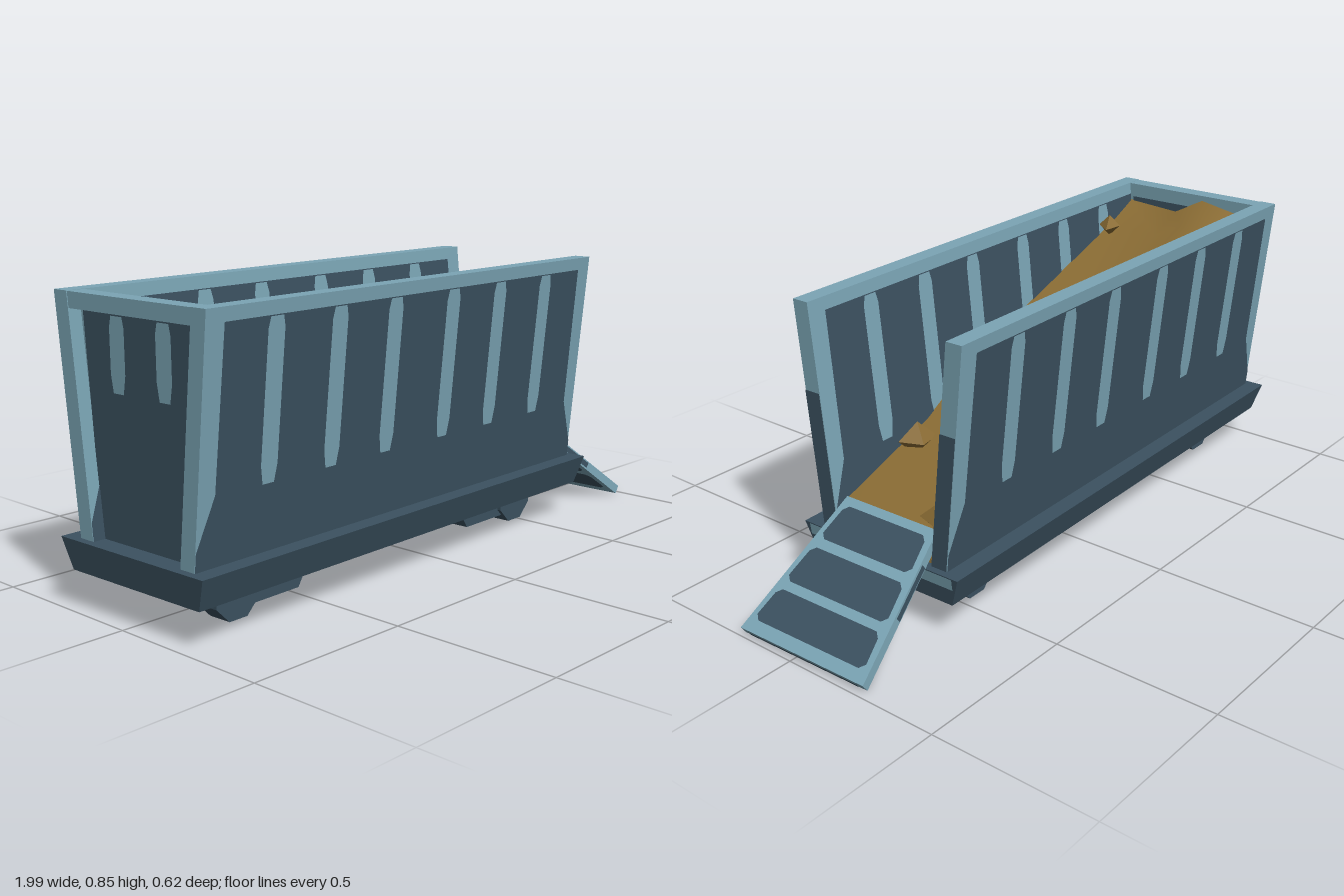
import * as THREE from 'three';
import { ConvexGeometry } from 'three/addons/geometries/ConvexGeometry.js';

const steel = new THREE.MeshStandardMaterial({ color: 0x7ba5b5 });
steel.name = 'paleSteel';
const panel = new THREE.MeshStandardMaterial({ color: 0x3b5160 });
panel.name = 'darkPanel';
const sand = new THREE.MeshStandardMaterial({ color: 0x8a6c34 });
sand.name = 'sand';

function add(parent, name, geometry, material) {
  const mesh = new THREE.Mesh(geometry, material);
  mesh.name = name;
  parent.add(mesh);
  return mesh;
}

// Box whose bottom and top rectangles have different half lengths and widths
function frustum(y0, l0, w0, y1, l1, w1) {
  const g = new THREE.BoxGeometry(2, 2, 2).toNonIndexed();
  const p = g.attributes.position;
  for (let i = 0; i < p.count; i++) {
    const top = p.getY(i) > 0;
    p.setXYZ(i, p.getX(i) * (top ? l1 : l0), top ? y1 : y0, p.getZ(i) * (top ? w1 : w0));
  }
  g.computeVertexNormals();
  return g;
}

const polygon = (pts) => new THREE.Shape(pts.map(([x, y]) => new THREE.Vector2(x, y)));

// Dark plate with slots through which the pale ribs show
function ribbedPanel(outline, ribs, top, bottom) {
  const shape = polygon(outline);
  for (const x of ribs) {
    shape.holes.push(polygon([[x - 0.02, bottom], [x - 0.029, bottom + 0.05], [x - 0.029, top - 0.03],
      [x - 0.022, top], [x + 0.022, top], [x + 0.029, top - 0.03], [x + 0.029, bottom + 0.05], [x + 0.02, bottom]]));
  }
  return new THREE.ShapeGeometry(shape);
}

const FLOOR = 0.2, TOP = 0.857, LEAN = 0.102, HALF = 0.81, THICK = 0.052;

// One long wall leaning outwards, built for +z; openEnd is the sign of its ramp end
function sideWall(name, openEnd) {
  const g = new THREE.Group();
  g.name = name;
  const lean = new THREE.Matrix4().set(1, 0, 0, 0, 0, 1, 0, 0, 0, LEAN, 1, 0.225 - LEAN * FLOOR, 0, 0, 0, 1);
  const place = (geo) => {
    geo.applyMatrix4(lean);
    geo.computeVertexNormals();
    return geo;
  };
  add(g, 'wall', place(new THREE.BoxGeometry(HALF * 2, TOP - FLOOR, THICK).translate(0, (TOP + FLOOR) / 2, -THICK / 2)), steel);
  const outline = [[-HALF, FLOOR], [HALF, FLOOR], [HALF, 0.25], [0.755, 0.39], [0.75, 0.82], [-0.75, 0.82], [-0.755, 0.39], [-HALF, 0.25]];
  const ribs = [-0.575, -0.345, -0.125, 0.125, 0.345, 0.575];
  add(g, 'outerPanel', place(ribbedPanel(outline, ribs, 0.817, 0.385).translate(0, 0, 0.002)), panel);
  add(g, 'innerPanel', place(ribbedPanel(outline, ribs, 0.817, 0.385).rotateY(Math.PI).translate(0, 0, -THICK - 0.002)), panel);
  // Dark lower part of the wall end beside the ramp
  const end = new THREE.PlaneGeometry(THICK, 0.4).rotateY(openEnd * Math.PI / 2);
  add(g, 'wallEndPanel', place(end.translate(openEnd * (HALF + 0.002), 0.4, -THICK / 2)), panel);
  return g;
}

// End wall set back under a top rail
function endWall() {
  const g = new THREE.Group();
  g.name = 'endWall';
  g.position.x = -0.781;
  add(g, 'topRail', frustum(0.812, 0.027, 0.252, TOP - 0.001, 0.027, 0.257), steel);
  add(g, 'wall', frustum(FLOOR, 0.008, 0.19, 0.815, 0.008, 0.252).translate(0.019, 0, 0), steel);
  const outline = [[-0.18, FLOOR], [0.18, FLOOR], [0.225, 0.812], [-0.225, 0.812]];
  add(g, 'outerPanel', ribbedPanel(outline, [-0.09, 0.09], 0.8, 0.6).rotateY(-Math.PI / 2).translate(0.009, 0, 0), panel);
  add(g, 'innerPanel', ribbedPanel(outline, [], 0, 0).rotateY(Math.PI / 2).translate(0.029, 0, 0), panel);
  return g;
}

// Lowered tail ramp, wider at its free end
function ramp() {
  const g = new THREE.Group();
  g.name = 'ramp';
  g.position.set(0.775, 0.29, 0);
  g.rotation.z = -Math.atan2(0.265, 0.37);
  const length = 0.455;
  const half = (t) => 0.165 + 0.06 * t;
  const plate = polygon([[0, -half(0)], [length, -half(1)], [length, half(1)], [0, half(0)]]);
  add(g, 'rampPlate', new THREE.ExtrudeGeometry(plate, { depth: 0.028, bevelEnabled: false }).rotateX(Math.PI / 2), steel);
  for (const [a, b] of [[0.06, 0.31], [0.375, 0.63], [0.69, 0.92]]) {
    const ha = half(a) - 0.018, hb = half(b) - 0.02, c = 0.016;
    const pts = [[a * length, -ha + c], [a * length + c, -ha], [b * length - c, -hb], [b * length, -hb + c],
      [b * length, hb - c], [b * length - c, hb], [a * length + c, ha], [a * length, ha - c]];
    for (const s of [-1, 1]) {
      const geo = new THREE.ShapeGeometry(polygon(pts)).rotateX(s * Math.PI / 2);
      add(g, 'rampPanel', geo.translate(0, s < 0 ? 0.002 : -0.03, 0), panel);
    }
  }
  // Dark strips on the ramp's edges
  add(g, 'rampEndPanel', new THREE.PlaneGeometry(0.4, 0.014).rotateY(Math.PI / 2).translate(length + 0.002, -0.015, 0), panel);
  for (const s of [-1, 1]) {
    const strip = add(g, 'rampSidePanel', new THREE.PlaneGeometry(0.16, 0.018), panel);
    strip.position.set(0.4 * length, -0.014, s * (half(0.4) + 0.002));
    strip.rotation.y = s > 0 ? -0.131 : Math.PI + 0.131;
  }
  return g;
}

// Foot block with an eight-sided roller at its outer end
function foot(sx, sz) {
  const g = new THREE.Group();
  g.name = 'foot';
  const block = polygon([[0.325, 0.115], [0.375, 0.035], [0.6, 0.035], [0.64, 0.06], [0.69, 0.115]].map(([x, y]) => [x * sx, y]));
  add(g, 'footBlock', new THREE.ExtrudeGeometry(block, { depth: 0.06, bevelEnabled: false }).translate(0, 0, sz * 0.12 - 0.03), panel);
  const roller = new THREE.CylinderGeometry(0.082, 0.082, 0.075, 8).rotateY(Math.PI / 8).rotateX(Math.PI / 2).toNonIndexed();
  roller.computeVertexNormals();
  add(g, 'roller', roller.translate(sx * 0.61, 0.088, sz * 0.125), panel);
  return g;
}

// Heap sloping from the end wall down to the ramp
function sandHeap() {
  const g = new THREE.Group();
  g.name = 'sandHeap';
  const xs = [-0.755, -0.62, -0.1, 0.16, 0.4, 0.79, 0.8];
  const ys = [0.8, 0.745, 0.585, 0.5, 0.385, 0.265, FLOOR];
  const across = [-1, -0.6, -0.2, 0.22, 1];
  const crest = [0.005, 0.022, 0.04, -0.013, 0];
  const geo = new THREE.PlaneGeometry(1, 1, 4, 6).rotateX(-Math.PI / 2);
  const p = geo.attributes.position;
  for (let i = 0; i < p.count; i++) {
    const row = Math.floor(i / 5), col = i % 5;
    const y = ys[row] + (row < 2 ? crest[col] : 0);
    p.setXYZ(i, xs[row], y, across[col] * (0.178 + LEAN * (y - FLOOR)));
  }
  // Rows run along +x here, so reverse the corners to keep the top facing up
  const index = geo.index.array;
  for (let i = 0; i < index.length; i += 3) [index[i], index[i + 1]] = [index[i + 1], index[i]];
  geo.computeVertexNormals();
  add(g, 'sandSlope', geo, sand);

  // Large broken slab lying on the slope
  const slab = [[-0.02, 0.57, 0.12], [0.155, 0.505, 0.01], [0.155, 0.57, 0.125], [0.365, 0.405, 0.11], [0.2, 0.42, 0.19], [0.155, 0.5, 0.2]];
  add(g, 'sandSlab', new ConvexGeometry(slab.map((v) => new THREE.Vector3(...v))), sand);

  // Angular lumps: x, y, z, then half sizes and turn
  const lumps = [
    [-0.57, 0.755, 0.2, 0.065, 0.035, 0.035, 0.4],
    [0.49, 0.365, 0.15, 0.06, 0.055, 0.05, -0.5],
    [0.57, 0.375, -0.172, 0.16, 0.065, 0.038, 0.1],
    [0.73, 0.3, -0.135, 0.06, 0.045, 0.055, 0.5],
  ];
  for (const [x, y, z, a, b, c, turn] of lumps) {
    const lump = new THREE.OctahedronGeometry(1).scale(a, b, c);
    lump.rotateY(turn);
    lump.computeVertexNormals();
    add(g, 'sandLump', lump, sand).position.set(x, y, z);
  }
  return g;
}

export function createModel() {
  const model = new THREE.Group();
  model.name = 'openContainer';
  const body = new THREE.Group();
  body.name = 'body';
  body.position.x = -0.155;
  body.rotation.y = 0.0245;
  model.add(body);

  // Base tray flaring upwards, with a pale strip on its ramp end
  add(body, 'base', frustum(0.11, 0.82, 0.25, FLOOR, 0.833, 0.28), panel);
  const strip = add(body, 'baseEndStrip', new THREE.PlaneGeometry(0.52, 0.035).rotateY(Math.PI / 2), steel);
  strip.position.set(0.832, 0.181, 0);
  strip.rotation.z = -0.14;

  const front = sideWall('leftWall', 1);
  const back = sideWall('rightWall', -1);
  back.rotation.y = Math.PI;
  body.add(front, back, endWall(), ramp(), sandHeap());

  for (const sx of [-1, 1]) for (const sz of [-1, 1]) body.add(foot(sx, sz));
  return model;
}
